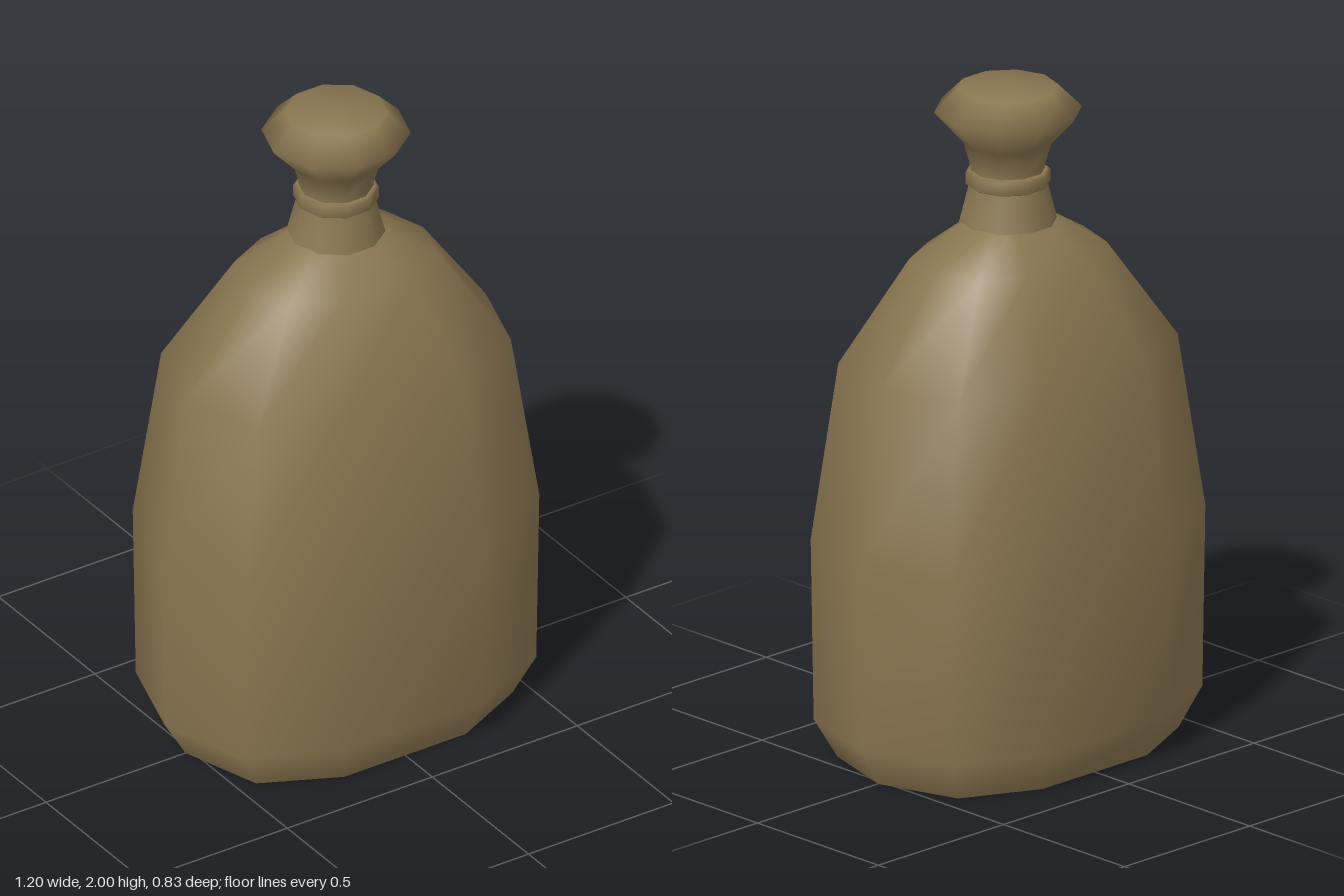
import * as THREE from 'three';

// Stacks scaled copies of a cross-section; rings are [y, scale], bottom to top
function loft(section, rings) {
  const n = section.length;
  const pos = [], idx = [];
  for (const [y, s] of rings) for (const [x, z] of section) pos.push(x * s, y, z * s);
  for (let r = 0; r < rings.length - 1; r++) {
    for (let i = 0; i < n; i++) {
      const a = r * n + i, b = r * n + (i + 1) % n;
      idx.push(a, b, b + n, a, b + n, a + n);
    }
  }
  // Smooth top cap shares the rim
  const top = (rings.length - 1) * n, centre = pos.length / 3;
  pos.push(0, rings[rings.length - 1][0], 0);
  for (let i = 0; i < n; i++) idx.push(centre, top + i, top + (i + 1) % n);
  // Sharp bottom cap has its own rim
  const [y0, s0] = rings[0];
  const rim = pos.length / 3;
  for (const [x, z] of section) pos.push(x * s0, y0, z * s0);
  pos.push(0, y0, 0);
  for (let i = 0; i < n; i++) idx.push(rim + n, rim + (i + 1) % n, rim + i);

  const g = new THREE.BufferGeometry();
  g.setAttribute('position', new THREE.Float32BufferAttribute(pos, 3));
  g.setIndex(idx);
  g.computeVertexNormals();
  return g;
}

export function createModel() {
  const group = new THREE.Group();
  group.name = 'bottle';
  const clay = new THREE.MeshStandardMaterial({ color: 0x8a7650 });
  clay.name = 'brown clay';

  // Wide ten-sided section for the flask, regular decagon for the neck
  const flask = [
    [0.6, 0], [0.51, -0.288], [0.242, -0.416], [-0.242, -0.416], [-0.51, -0.288],
    [-0.6, 0], [-0.51, 0.288], [-0.242, 0.416], [0.242, 0.416], [0.51, 0.288],
  ];
  const decagon = Array.from({ length: 10 }, (_, i) => {
    const a = i * Math.PI / 5;
    return [Math.cos(a), -Math.sin(a)];
  });

  const add = (name, section, rings) => {
    const mesh = new THREE.Mesh(loft(section, rings), clay);
    mesh.name = name;
    group.add(mesh);
  };

  add('body', flask, [
    [0, 0.865], [0.12, 0.985], [0.67, 1], [1.2, 0.86], [1.5, 0.5], [1.61, 0.2],
  ]);
  add('neckAndStopper', decagon, [
    [1.595, 0.142], [1.71, 0.113], [1.76, 0.108], [1.835, 0.13], [1.93, 0.215], [2, 0.145],
  ]);
  add('collar', decagon, [
    [1.702, 0.113], [1.709, 0.123], [1.744, 0.123], [1.751, 0.113],
  ]);
  return group;
}
